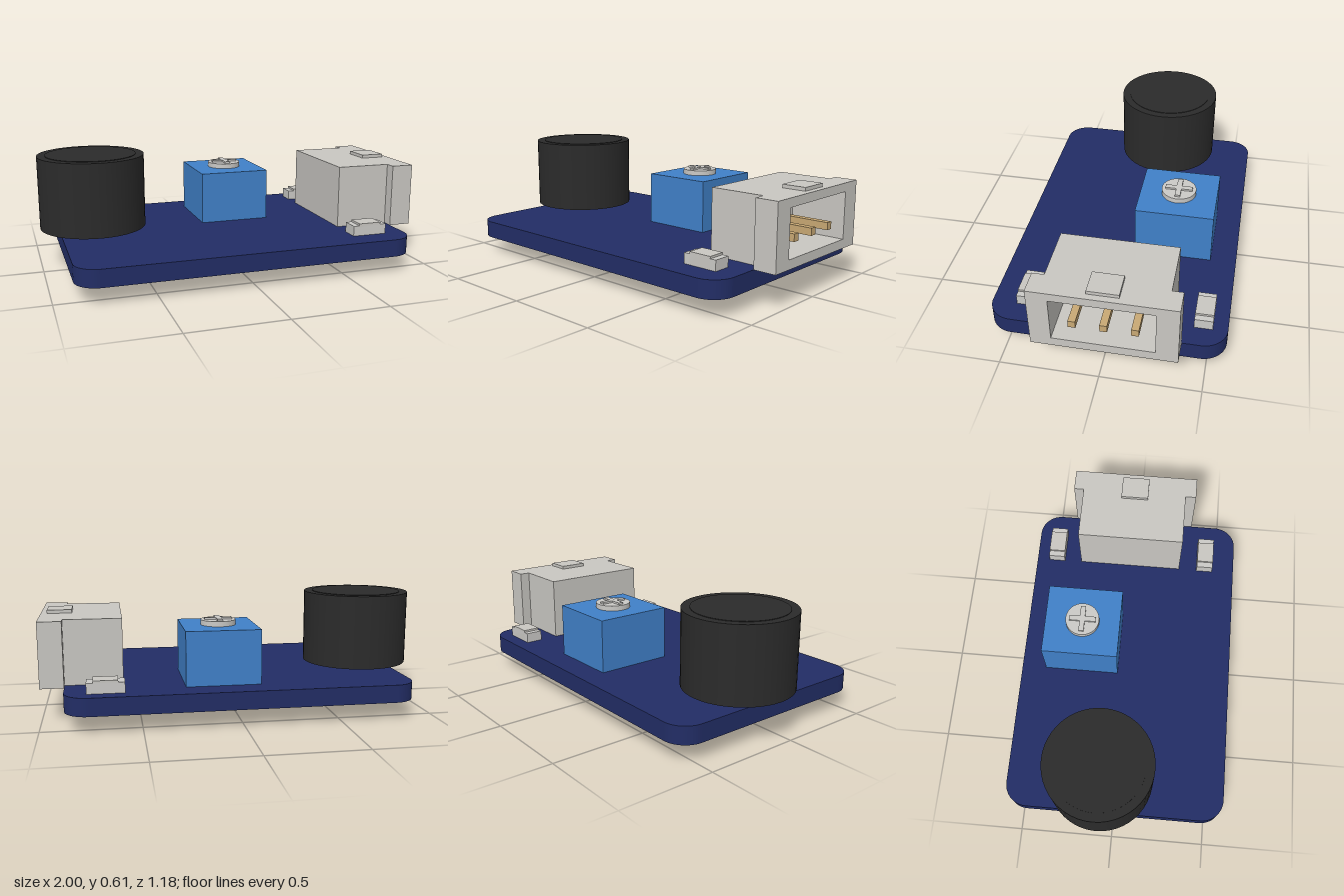
import * as THREE from 'three';

const mat = (name, color) => {
  const m = new THREE.MeshStandardMaterial({ color });
  m.name = name;
  return m;
};

export function createModel() {
  const model = new THREE.Group();
  model.name = 'circuitModule';
  const boardBlue = mat('board blue', 0x222d65);
  const black = mat('component black', 0x2b2b2b);
  const trimBlue = mat('trimmer blue', 0x4080c8);
  const grey = mat('connector grey', 0xc9c7c2);
  const metal = mat('metal', 0xcbcac7);
  const tan = mat('tan gold', 0xc9a974);

  const add = (name, geo, material, parent = model) => {
    const mesh = new THREE.Mesh(geo, material);
    mesh.name = name;
    parent.add(mesh);
    return mesh;
  };
  // Box given by its limits on each axis
  const box = (name, material, [x0, x1], [y0, y1], [z0, z1], parent) => {
    const geo = new THREE.BoxGeometry(x1 - x0, y1 - y0, z1 - z0);
    geo.translate((x0 + x1) / 2, (y0 + y1) / 2, (z0 + z1) / 2);
    return add(name, geo, material, parent);
  };
  const group = (name) => {
    const g = new THREE.Group();
    g.name = name;
    model.add(g);
    return g;
  };
  const TOP = 0.184, UNDER = 0.092;

  // Board with rounded corners
  const [bx0, bx1, bz, r] = [-0.897, 0.88, 0.591, 0.12];
  const outline = new THREE.Shape();
  outline.absarc(bx1 - r, bz - r, r, 0, Math.PI / 2);
  outline.absarc(bx0 + r, bz - r, r, Math.PI / 2, Math.PI);
  outline.absarc(bx0 + r, -bz + r, r, Math.PI, Math.PI * 1.5);
  outline.absarc(bx1 - r, -bz + r, r, Math.PI * 1.5, Math.PI * 2);
  const boardGeo = new THREE.ExtrudeGeometry(outline, { depth: TOP - UNDER, bevelEnabled: false, curveSegments: 8 });
  boardGeo.rotateX(-Math.PI / 2).translate(0, UNDER, 0);
  add('board', boardGeo, boardBlue);

  // Round can standing on two leads
  const can = group('capacitor');
  can.position.set(-0.717, 0, -0.08);
  add('canBody', new THREE.CylinderGeometry(0.283, 0.283, 0.39, 48).translate(0, 0.411, 0), black, can);
  add('canTop', new THREE.CylinderGeometry(0.24, 0.24, 0.004, 48).translate(0, 0.607, 0), black, can);
  for (const s of [-1, 1]) {
    add('canLead', new THREE.CylinderGeometry(0.014, 0.014, 0.04, 12).translate(0, 0.2, s * 0.13), metal, can);
  }

  // Trimmer with a cross-headed screw
  const trimmer = group('trimmer');
  box('trimmerBody', trimBlue, [-0.106, 0.279], [TOP, 0.465], [-0.455, -0.045], trimmer);
  const [sx, sz] = [0.086, -0.25];
  add('screwHead', new THREE.CylinderGeometry(0.092, 0.092, 0.028, 40).translate(sx, 0.478, sz), metal, trimmer);
  box('screwCross', metal, [sx - 0.072, sx + 0.072], [0.49, 0.502], [sz - 0.014, sz + 0.014], trimmer);
  box('screwCross', metal, [sx - 0.014, sx + 0.014], [0.49, 0.502], [sz - 0.072, sz + 0.072], trimmer);

  // Open connector shell facing +x: back wall, sleeve, wider rim
  const connector = group('connector');
  const sleeve = (name, x0, x1, z0, z1) => {
    const rect = (s, a, b, c, d) => s.moveTo(a, c).lineTo(b, c).lineTo(b, d).lineTo(a, d).closePath();
    const shape = rect(new THREE.Shape(), -z1, -z0, TOP, 0.52);
    shape.holes.push(rect(new THREE.Path(), -0.222, 0.273, 0.232, 0.475));
    const geo = new THREE.ExtrudeGeometry(shape, { depth: x1 - x0, bevelEnabled: false });
    geo.rotateY(Math.PI / 2).translate(x0, 0, 0);
    add(name, geo, grey, connector);
  };
  box('connectorBack', grey, [0.585, 0.7], [TOP, 0.52], [-0.325, 0.265], connector);
  sleeve('connectorSleeve', 0.7, 0.88, -0.325, 0.265);
  sleeve('connectorRim', 0.88, 1.0, -0.38, 0.325);
  box('connectorTab', grey, [0.84, 0.968], [0.515, 0.538], [-0.103, 0.05], connector);
  for (const z of [0.125, -0.025, -0.174]) {
    box('connectorPin', tan, [0.69, 0.975], [0.296, 0.334], [z - 0.018, z + 0.018], connector);
  }

  // Small parts beside the connector, raised in the middle
  for (const [z0, z1] of [[-0.517, -0.425], [0.37, 0.463]]) {
    box('chipEnds', metal, [0.582, 0.77], [TOP, 0.238], [z0, z1]);
    box('chipMiddle', grey, [0.615, 0.738], [TOP, 0.249], [z0, z1]);
  }

  // Integrated circuit on the underside with four legs per side
  const ic = group('integratedCircuit');
  box('icBody', black, [-0.038, 0.25], [0, UNDER], [0.063, 0.292], ic);
  for (let i = 0; i < 4; i++) {
    const z = 0.065 + i * 0.0755;
    box('icLegs', metal, [-0.092, 0.304], [0.061, 0.074], [z - 0.011, z + 0.011], ic);
  }

  // Tan and black surface parts on the underside
  const under = (name, material, x, z) =>
    box(name, material, [x - 0.058, x + 0.058], [0.062, UNDER], [z - 0.037, z + 0.037]);
  under('tanChip', tan, 0.457, 0.119);
  under('tanChip', tan, -0.362, 0.22);
  under('blackChip', black, 0.457, -0.175);
  for (const z of [0.063, -0.086, -0.234]) under('blackChip', black, -0.362, z);

  return model;
}
